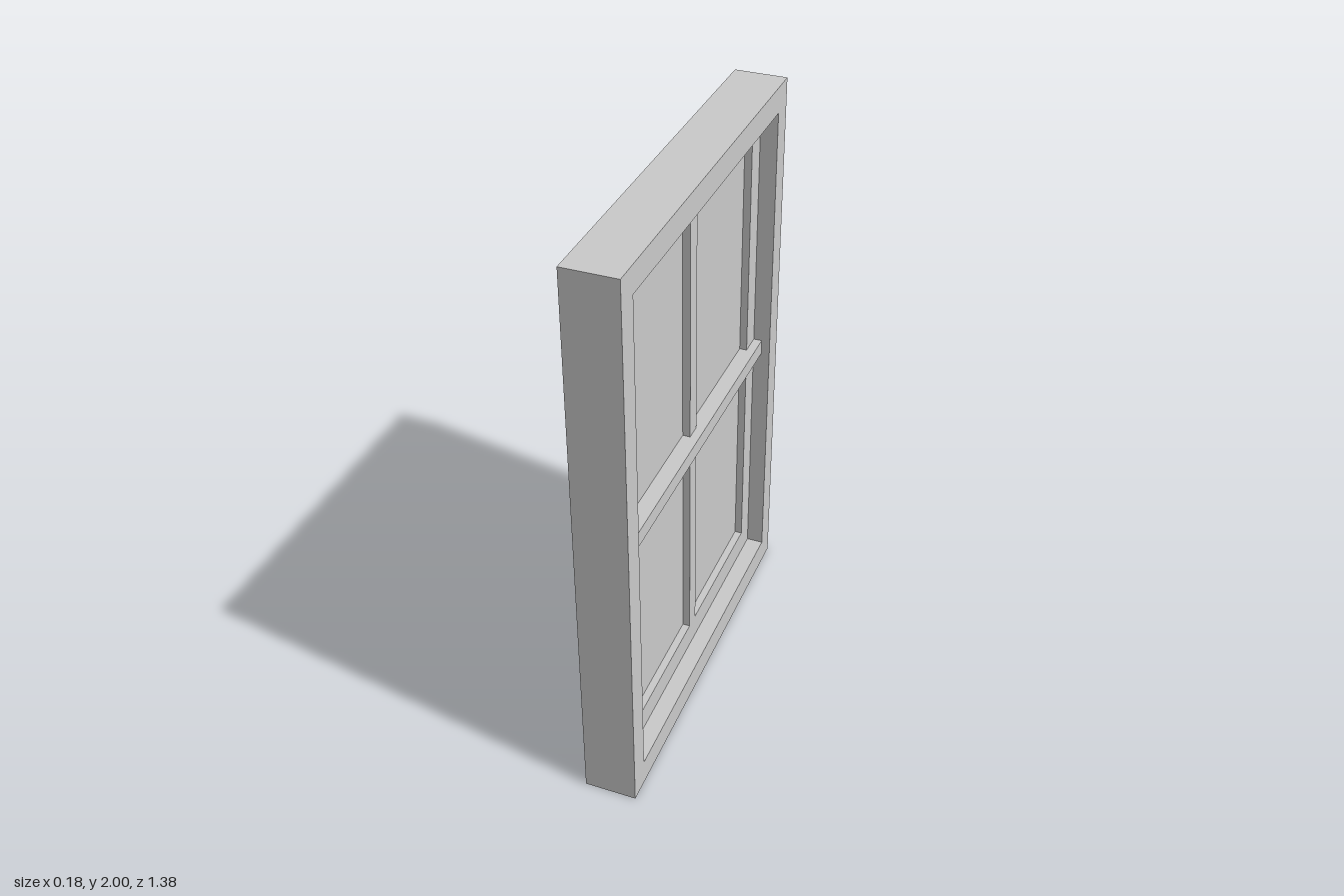
import * as THREE from 'three';

const material = new THREE.MeshStandardMaterial({ color: 0xcccccc, flatShading: true });

const HALF_W = 0.688;   // half width of the whole window, along z
const SIGHT = 0.53;     // half width of the glazed opening
const REBATE = 0.608;   // half width of the wider recess at +x
const BAR_LOW = 0.975, BAR_HIGH = 1.03;

// Rectangular ring with a hole, extruded along x from x0 to x1
function ring(name, holeHalf, holeLow, holeHigh, x0, x1) {
  const shape = new THREE.Shape([
    new THREE.Vector2(-HALF_W, 0), new THREE.Vector2(HALF_W, 0),
    new THREE.Vector2(HALF_W, 2), new THREE.Vector2(-HALF_W, 2),
  ]);
  shape.holes.push(new THREE.Path([
    new THREE.Vector2(-holeHalf, holeLow), new THREE.Vector2(-holeHalf, holeHigh),
    new THREE.Vector2(holeHalf, holeHigh), new THREE.Vector2(holeHalf, holeLow),
  ]));
  const geometry = new THREE.ExtrudeGeometry(shape, { depth: x1 - x0, bevelEnabled: false });
  geometry.rotateY(Math.PI / 2).translate(x0, 0, 0);
  const mesh = new THREE.Mesh(geometry, material);
  mesh.name = name;
  return mesh;
}

// Box given by its extents in x and y and its half width in z
function block(name, x0, x1, y0, y1, halfZ) {
  const mesh = new THREE.Mesh(new THREE.BoxGeometry(x1 - x0, y1 - y0, 2 * halfZ), material);
  mesh.position.set((x0 + x1) / 2, (y0 + y1) / 2, 0);
  mesh.name = name;
  return mesh;
}

export function createModel() {
  const model = new THREE.Group();
  model.name = 'window';

  // Stepped frame: narrow opening behind, wider recess in front
  const frame = new THREE.Group();
  frame.name = 'frame';
  frame.add(
    ring('innerFrame', SIGHT, 0.185, 1.82, -0.09, 0.03),
    ring('outerFrame', REBATE, 0.095, 1.91, 0.03, 0.09),
  );

  model.add(
    frame,
    block('glass', -0.004, 0.004, 0.185, 1.82, SIGHT),
    // Upright bar shows on both sides of the glass
    block('verticalBar', -0.03, 0.03, 0.185, 1.82, 0.028),
    // Cross bar stands proud of the glass on the recessed side only
    block('crossBar', 0, 0.06, BAR_LOW, BAR_HIGH, REBATE),
  );
  return model;
}
